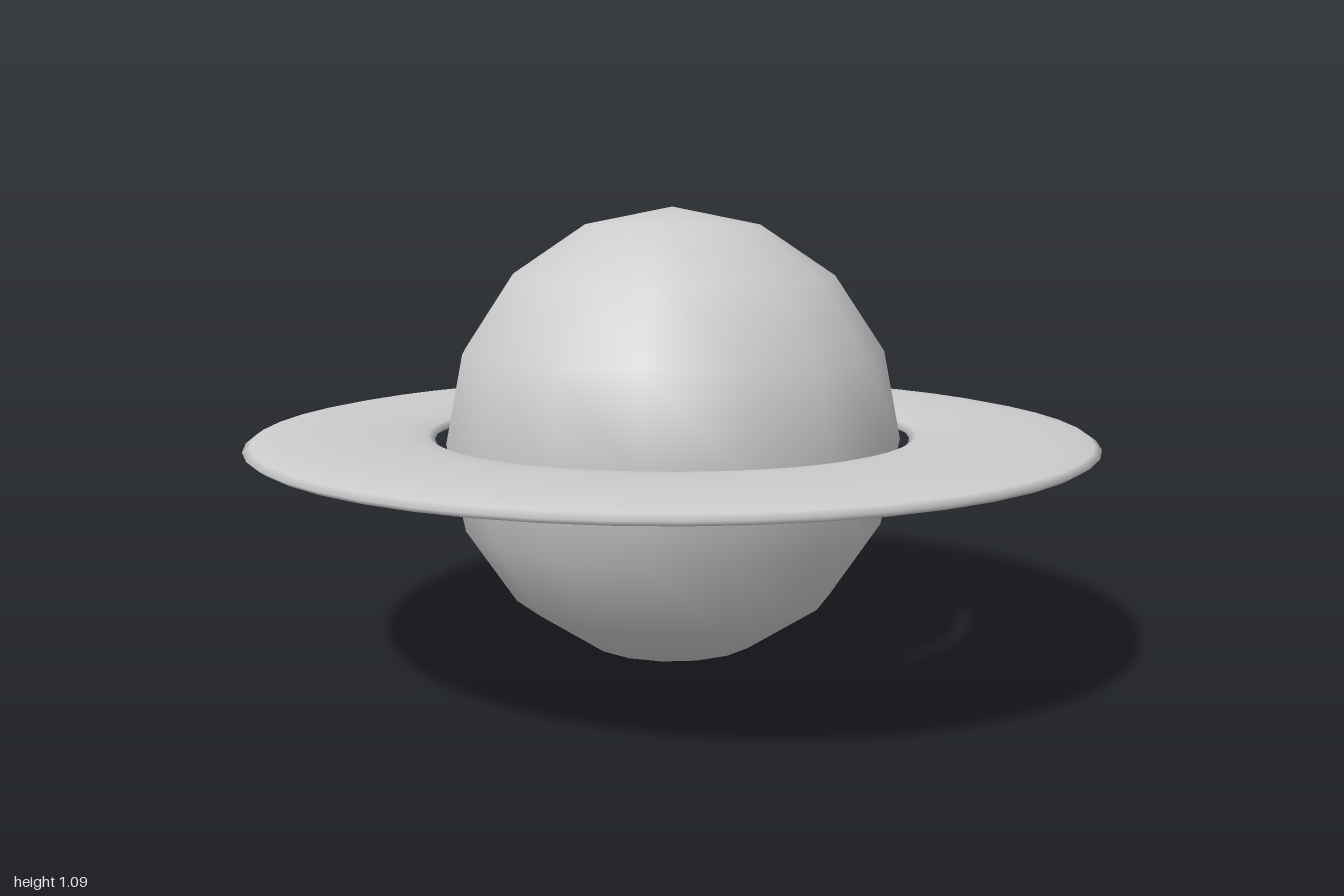
import * as THREE from 'three';

export function createModel() {
  const model = new THREE.Group();
  model.name = 'ringedPlanet';
  const material = new THREE.MeshStandardMaterial({ color: 0xcccccc });
  const radius = 0.545;

  // Coarse sphere with smooth shading
  const planet = new THREE.Mesh(new THREE.SphereGeometry(radius, 16, 8), material);
  planet.name = 'planet';
  planet.position.y = radius;
  model.add(planet);

  // Torus laid flat and squashed into a thin disc with a lens-shaped section
  const ringGeometry = new THREE.TorusGeometry(0.783, 0.217, 16, 48);
  ringGeometry.rotateX(-Math.PI / 2);
  ringGeometry.scale(1, 0.03 / 0.217, 1);
  const ring = new THREE.Mesh(ringGeometry, material);
  ring.name = 'ring';
  ring.position.y = radius + 0.003;
  model.add(ring);

  return model;
}
